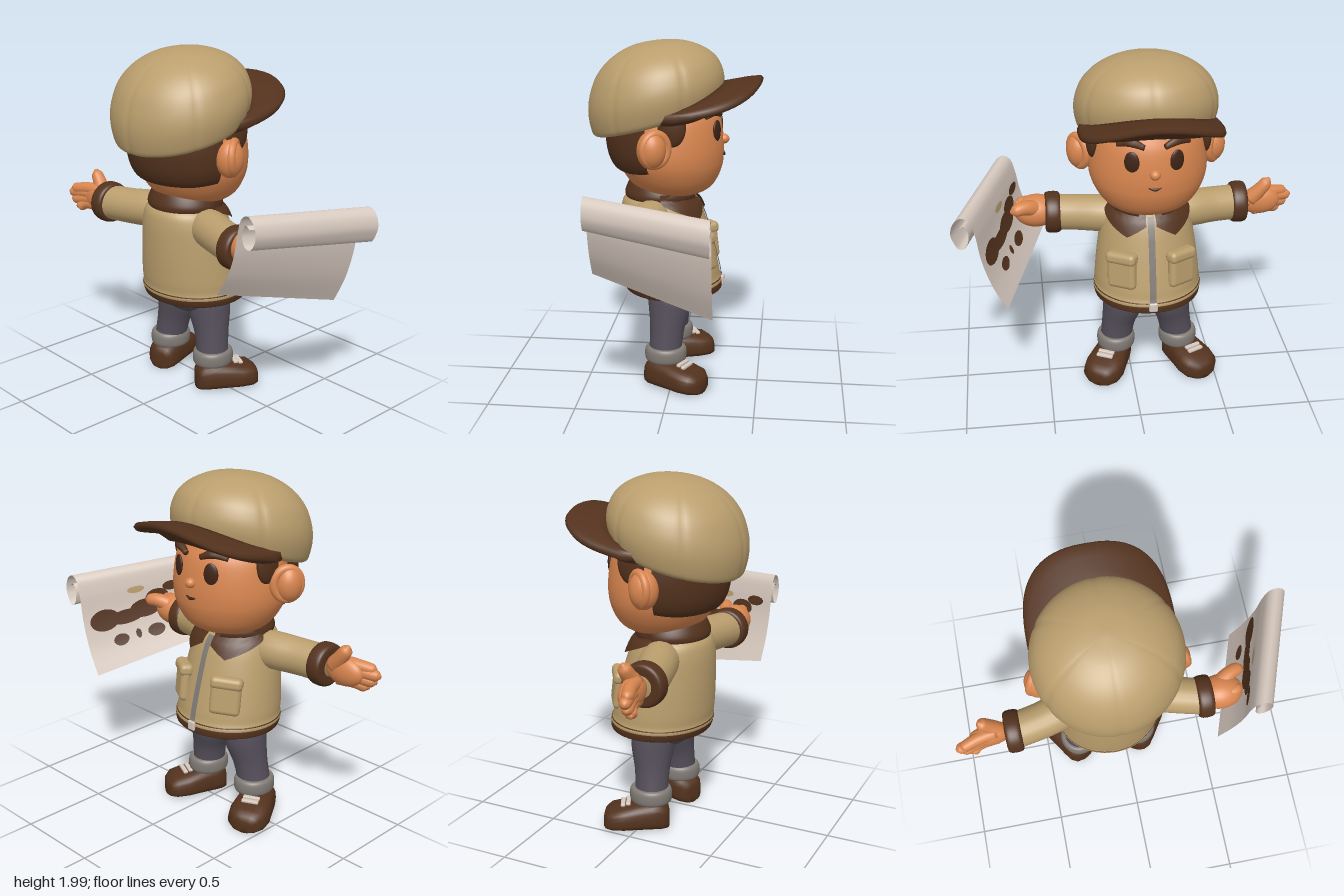
import * as THREE from 'three';
import { mergeVertices } from 'three/addons/utils/BufferGeometryUtils.js';
import { RoundedBoxGeometry } from 'three/addons/geometries/RoundedBoxGeometry.js';

const mat = (name, color, side = THREE.FrontSide) =>
  Object.assign(new THREE.MeshStandardMaterial({ color, side }), { name });
const V = (x, y, z) => new THREE.Vector3(x, y, z);
const lerp = THREE.MathUtils.lerp;

function smooth(geo) {
  geo.deleteAttribute('uv');
  geo.deleteAttribute('normal');
  const g = mergeVertices(geo, 1e-4);
  g.computeVertexNormals();
  return g;
}

// Smooth profile [r, y] from bottom to top
const profile = (pts, n = 40) =>
  new THREE.SplineCurve(pts.map(p => new THREE.Vector2(...p))).getPoints(n).map(p => p.setX(Math.max(p.x, 0)));

function lathe(pts, move, start = 0, length = Math.PI * 2, segments = 56) {
  const g = new THREE.LatheGeometry(profile(pts), segments, start, length);
  const p = g.attributes.position;
  for (let i = 0; i < p.count; i++) p.setXYZ(i, ...move(p.getX(i), p.getY(i), p.getZ(i)));
  return smooth(g);
}

// Skin over a row of closed rings, capped at both ends, always facing outwards
function loft(rings) {
  const n = rings[0].length, all = rings.flat(), idx = [];
  for (let r = 0; r < rings.length - 1; r++)
    for (let i = 0; i < n; i++) {
      const a = r * n + i, b = r * n + (i + 1) % n;
      idx.push(a, b, a + n, b, b + n, a + n);
    }
  [rings[0], rings[rings.length - 1]].forEach((ring, end) => {
    const c = all.push(ring.reduce((s, p) => s.add(p), V(0, 0, 0)).divideScalar(n)) - 1;
    const base = end ? (rings.length - 1) * n : 0;
    for (let i = 0; i < n; i++) {
      const a = base + i, b = base + (i + 1) % n;
      idx.push(c, ...(end ? [a, b] : [b, a]));
    }
  });
  let volume = 0;
  for (let i = 0; i < idx.length; i += 3)
    volume += all[idx[i]].dot(V(0, 0, 0).crossVectors(all[idx[i + 1]], all[idx[i + 2]]));
  if (volume < 0) idx.reverse();
  const g = new THREE.BufferGeometry().setFromPoints(all);
  g.setIndex(idx);
  g.computeVertexNormals();
  return g;
}

// Tube through points with a radius at each point
function limb(points, radii, steps = 20, sides = 20) {
  const curve = new THREE.CatmullRomCurve3(points.map(p => V(...p)));
  const f = curve.computeFrenetFrames(steps);
  const radius = new THREE.SplineCurve(radii.map((r, i) => new THREE.Vector2(i, r)));
  const rings = [];
  for (let k = 0; k <= steps; k++) {
    const c = curve.getPoint(k / steps), r = radius.getPoint(k / steps).y;
    rings.push(Array.from({ length: sides }, (_, i) => {
      const a = i / sides * Math.PI * 2;
      return c.clone().addScaledVector(f.normals[k], r * Math.cos(a)).addScaledVector(f.binormals[k], r * Math.sin(a));
    }));
  }
  return loft(rings);
}

export function createModel() {
  const tan = mat('tan cloth', 0xba9e6d), brown = mat('dark brown', 0x53321d, THREE.DoubleSide);
  const skin = mat('skin', 0xd9864f), slate = mat('slate trousers', 0x554f5a);
  const grey = mat('grey', 0x807a74, THREE.DoubleSide), paper = mat('paper', 0xd6c8be, THREE.DoubleSide);
  const dark = mat('eye brown', 0x3f2416);
  const model = new THREE.Group(), body = new THREE.Group();
  body.name = 'figure';
  body.position.x = -0.1;
  model.add(body);
  const add = (name, geo, m, parent = body) => {
    const mesh = new THREE.Mesh(geo, m);
    mesh.name = name;
    parent.add(mesh);
    return mesh;
  };
  const ball = (name, m, pos, size, ry = 0) => {
    const b = add(name, new THREE.SphereGeometry(1, 32, 20), m);
    b.position.set(...pos);
    b.scale.set(...size);
    b.rotation.y = ry;
  };

  // Head with the jaw pushed forward, hair and face
  add('head', lathe([[0, 1.11], [0.14, 1.125], [0.24, 1.17], [0.305, 1.26], [0.333, 1.36], [0.322, 1.5], [0.29, 1.6], [0.22, 1.67], [0, 1.7]],
    (x, y, z) => [x, y, z * 0.93 + 0.03 - 0.12 * Math.max(0, 1.34 - y)]), skin);
  add('hair', lathe([[0.22, 1.265], [0.3, 1.275], [0.345, 1.35], [0.362, 1.47], [0.355, 1.62]],
    (x, y, z) => [x * 1.04, y + 0.1 * Math.max(0, 0.2 - z) * Math.max(0, (1.6 - y) / 0.3), z * 1.02 + 0.03], -1.3, 2.6), brown);
  ball('nose', skin, [0, 1.44, -0.28], [0.03, 0.028, 0.03]);
  add('mouth', limb([[-0.035, 1.36, -0.276], [0, 1.352, -0.28], [0.035, 1.362, -0.276]], [0.004, 0.009, 0.004], 10, 8), dark);
  for (const s of [-1, 1]) {
    ball('eye', dark, [s * 0.122, 1.505, -0.246], [0.042, 0.063, 0.014], -s * 0.38);
    add('eyebrow', limb([[s * 0.055, 1.592, -0.258], [s * 0.125, 1.615, -0.232], [s * 0.195, 1.592, -0.192]], [0.016, 0.024, 0.012], 12, 10), brown);
    ball('ear', skin, [s * 0.375, 1.44, 0.09], [0.075, 0.105, 0.08]);
    const rim = add('earRim', new THREE.TorusGeometry(0.074, 0.024, 14, 32), skin);
    rim.position.set(s * 0.383, 1.445, 0.068);
    rim.rotation.y = Math.PI / 2 + s * 0.6;
    rim.scale.y = 1.12;
    ball('sideburn', brown, [s * 0.315, 1.56, -0.015], [0.035, 0.115, 0.078]);
  }

  // Cap crown with shallow seam grooves, its lower edge rising towards the peak
  const crown = (x, y, z) => {
    const a = Math.atan2(x, z), step = Math.PI / 3, d = a - Math.round(a / step) * step;
    const k = 1 - 0.014 * Math.exp(-((d / 0.045) ** 2));
    return [x * k, 1.555 + y - 0.27 * z * (1 - 0.6 * y / 0.445), z * k * 0.96 + 0.11];
  };
  add('capCrown', lathe([[0, 0.02], [0.3, 0], [0.365, 0], [0.39, 0.05], [0.402, 0.13], [0.39, 0.21], [0.35, 0.295], [0.27, 0.368], [0.15, 0.42], [0, 0.438]],
    crown, 0, Math.PI * 2, 144), tan);

  // Arched peak, lower at its sides and thick where it meets the crown
  const power = (v, e) => Math.sign(v) * Math.abs(v) ** e;
  const peakRings = [];
  for (let k = 0; k <= 40; k++) {
    const a = lerp(-Math.PI / 2, Math.PI / 2, k / 40), c = Math.max(Math.cos(a), 0);
    const inner = [0.35 * Math.sin(a), 0.1 - 0.33 * c];
    const outer = [0.395 * power(Math.sin(a), 0.7), -0.04 - 0.455 * c ** 0.65];
    const root = 0.075 * Math.sqrt(c);
    peakRings.push([[0, 0.02], [0.35, 0.021], [0.7, 0.022], [0.95, 0.017], [1, 0], [0.95, -0.017], [0.7, -0.024],
      [0.45, -0.022 - root * 0.3], [0.22, -0.02 - root], [0, -0.02 - root]].map(([s, h]) => {
      const x = lerp(inner[0], outer[0], s), z = lerp(inner[1], outer[1], s);
      return V(x, 1.6 - 0.18 * z + 0.095 * (1 - (x / 0.4) ** 2) + h, z);
    }));
  }
  add('capPeak', loft(peakRings), brown);

  // Jacket
  const jacketPts = [[0, 0.575], [0.29, 0.58], [0.308, 0.64], [0.3, 0.75], [0.28, 0.9], [0.255, 1.03], [0.218, 1.1], [0.13, 1.14], [0, 1.15]];
  const lean = y => 0.015 + (y - 0.6) * 0.15;
  const jacket = (x, y, z) => [x, y, z * 0.92 + lean(y)];
  add('jacket', lathe(jacketPts, jacket), tan);
  add('hem', lathe([[0.24, 0.555], [0.3, 0.55], [0.313, 0.57], [0.315, 0.6], [0.31, 0.62], [0.27, 0.626]], jacket), brown);
  const sides = profile(jacketPts, 200);
  const radiusAt = y => sides.reduce((best, p) => Math.abs(p.y - y) < Math.abs(best.y - y) ? p : best).x;
  const frontZ = (x, y) => lean(y) - 0.92 * Math.sqrt(Math.max(0, radiusAt(y) ** 2 - x * x));
  const zip = new THREE.PlaneGeometry(0.038, 0.5, 1, 24).rotateY(Math.PI).translate(0, 0.85, 0);
  const zp = zip.attributes.position;
  for (let i = 0; i < zp.count; i++) zp.setZ(i, frontZ(0, zp.getY(i)) - 0.009);
  zip.computeVertexNormals();
  add('zip', zip, grey);
  add('zipPull', new RoundedBoxGeometry(0.05, 0.055, 0.02, 2, 0.008), paper).position.set(0, 0.595, -0.28);
  add('collar', lathe([[0.17, 1.09], [0.21, 1.095], [0.222, 1.13], [0.2, 1.185], [0.185, 1.2], [0.165, 1.17]],
    (x, y, z) => [x, y, z * 0.95 + 0.08], -Math.PI + 0.3, 2 * Math.PI - 0.6), brown);

  for (const s of [-1, 1]) {
    // Pointed lapel wrapped round the jacket front
    const lapel = new THREE.PlaneGeometry(1, 1, 20, 8), lp = lapel.attributes.position;
    for (let i = 0; i < lp.count; i++) {
      const u = lp.getX(i) + 0.5, v = 0.5 - lp.getY(i);
      const y = 1.15 - v * 0.155 * (u < 0.3 ? 0.6 + 0.4 * u / 0.3 : 1 - 0.65 * (u - 0.3) / 0.7);
      const a = 0.11 + u * 1.3, r = Math.max(radiusAt(y), 0.205) + 0.022;
      lp.setXYZ(i, s * r * Math.sin(a), y, lean(y) - 0.92 * r * Math.cos(a));
    }
    lapel.computeVertexNormals();
    add('lapel', lapel, brown);

    const pocket = new THREE.Group();
    pocket.name = 'pocket';
    pocket.position.set(s * 0.17, 0.785, frontZ(0.17, 0.785) - 0.002);
    pocket.rotation.set(0.12, -s * 0.58, 0);
    add('pocketBag', new RoundedBoxGeometry(0.175, 0.19, 0.06, 4, 0.028), tan, pocket);
    add('pocketFlap', new RoundedBoxGeometry(0.185, 0.07, 0.08, 4, 0.028), tan, pocket).position.y = 0.09;
    body.add(pocket);

    // Sleeves and cuffs
    const reach = s < 0 ? 0 : -0.03;
    add('sleeve', limb([[s * 0.06, 1.01, 0.08], [s * 0.24, 1.015, 0.115], [s * 0.4, 1.007, 0.16], [s * (0.56 + reach), 1.0, 0.19]], [0.09, 0.108, 0.105, 0.104]), tan);
    const cuff = add('sleeveCuff', lathe([[0.06, -0.045], [0.105, -0.045], [0.121, -0.025], [0.121, 0.025], [0.105, 0.045], [0.06, 0.045]], (x, y, z) => [x, y, z]), brown);
    cuff.position.set(s * (0.565 + reach), 1.0, 0.19);
    cuff.rotation.z = Math.PI / 2;

    // Legs, turned-up hems and shoes
    const ankle = s * 0.19 - 0.005;
    add('trouserLeg', limb([[s * 0.125, 0.56, 0.02], [s * 0.14, 0.46, 0.02], [s * 0.168, 0.33, 0.03], [ankle, 0.18, 0.04]], [0.125, 0.122, 0.1, 0.095]), slate);
    add('trouserTurnUp', lathe([[0.07, 0.15], [0.1, 0.15], [0.113, 0.17], [0.113, 0.215], [0.1, 0.237], [0.07, 0.235]],
      (x, y, z) => [x + ankle, y, z * 1.07 + 0.035]), grey);
    const shoeRings = [[-0.195, 0.035, 0.07], [-0.185, 0.075, 0.1], [-0.15, 0.11, 0.125], [-0.08, 0.12, 0.14], [0, 0.11, 0.155],
      [0.09, 0.1, 0.165], [0.14, 0.09, 0.155], [0.17, 0.065, 0.13], [0.178, 0.03, 0.1]].map(([z, w, h]) =>
      Array.from({ length: 28 }, (_, i) => {
        const a = i / 28 * Math.PI * 2;
        return V(w * (1 - 0.1 * Math.sin(a)) * power(Math.cos(a), 0.65), 0.002 + h * (0.5 + 0.5 * power(Math.sin(a), 0.65)), z);
      }));
    const shoe = new THREE.Group();
    shoe.name = 'shoe';
    shoe.position.set(s * 0.24 - 0.01, 0, -0.02);
    shoe.rotation.y = -s * 0.45;
    add('shoeUpper', loft(shoeRings), brown, shoe);
    for (const z of [-0.085, -0.055])
      add('lace', new RoundedBoxGeometry(0.1, 0.018, 0.026, 2, 0.006), paper, shoe).position.set(0, 0.147 + (z + 0.085) * 0.25, z);
    body.add(shoe);
  }
  add('trouserSeat', lathe([[0, 0.435], [0.08, 0.44], [0.17, 0.465], [0.225, 0.505], [0.248, 0.55], [0.25, 0.6]],
    (x, y, z) => [x, y, z * 0.75 + 0.02]), slate);

  // Open hand
  ball('openPalm', skin, [-0.7, 1.0, 0.19], [0.12, 0.085, 0.055]);
  [[0.045, 1.035, -0.87], [0.015, 1.005, -0.898], [-0.02, 0.965, -0.875], [-0.05, 0.925, -0.83]].forEach(([dy, tipY, tipX]) =>
    add('openFinger', limb([[-0.66, 1 + dy, 0.19], [-0.76, 1 + dy, 0.21], [tipX + 0.02, tipY, 0.24], [tipX, tipY, 0.245]], [0.04, 0.037, 0.03, 0.01], 14, 14), skin));
  add('openThumb', limb([[-0.64, 1.02, 0.18], [-0.69, 1.08, 0.165], [-0.73, 1.135, 0.16], [-0.742, 1.16, 0.16]], [0.05, 0.042, 0.034, 0.01], 14, 14), skin);

  // Gripping hand
  ball('gripPalm', skin, [0.63, 1.02, 0.185], [0.13, 0.095, 0.1]);
  [0.055, 0.02, -0.015, -0.045].forEach((dy, i) =>
    add('gripFinger', limb([[0.62, 1.01 + dy, 0.19], [0.68, 1.01 + dy, 0.21], [0.73 - i * 0.012, 1.01 + dy, 0.2], [0.745 - i * 0.012, 1.01 + dy, 0.18]], [0.038, 0.037, 0.032, 0.012], 14, 12), skin));
  add('gripThumb', limb([[0.63, 1.05, 0.15], [0.7, 1.08, 0.105], [0.755, 1.075, 0.085], [0.78, 1.065, 0.085]], [0.05, 0.042, 0.034, 0.01], 14, 14), skin);

  // Chart: a curved sheet with a curled top edge, u up the sheet and v from near to far end
  const chart = new THREE.Group();
  chart.name = 'chart';
  model.add(chart);
  const edge = new THREE.SplineCurve([[0.49, 0.8], [0.565, 0.92], [0.615, 1.05], [0.64, 1.18], [0.665, 1.26], [0.71, 1.287], [0.755, 1.25],
    [0.768, 1.18], [0.735, 1.115], [0.69, 1.12], [0.672, 1.18], [0.695, 1.235], [0.725, 1.22]].map(p => new THREE.Vector2(...p)));
  const onSheet = (g, u0, u1, v0, v1, lift) => {
    const p = g.attributes.position;
    for (let i = 0; i < p.count; i++) {
      const c = edge.getPoint(lerp(u0, u1, p.getX(i) + 0.5)), v = lerp(v0, v1, p.getY(i) + 0.5);
      const drop = lerp(0.15, 0.04, Math.min(1, (c.y - 0.8) / 0.35));
      p.setXYZ(i, c.x + v * 0.235 - lift, c.y - v * drop, lerp(0.385, -0.285, v));
    }
    g.computeVertexNormals();
    return g;
  };
  const blot = () => new THREE.RingGeometry(0.001, 0.5, 24, 4);
  add('chartSheet', onSheet(new THREE.PlaneGeometry(1, 1, 90, 12), 0, 1, 0, 1, 0), paper, chart);
  [[0.12, 0.185, 0.68, 0.95], [0.125, 0.17, 0.45, 0.78], [0.13, 0.19, 0.28, 0.58], [0.16, 0.215, 0.2, 0.42], [0.065, 0.1, 0.64, 0.78],
    [0.06, 0.1, 0.3, 0.46], [0.07, 0.1, 0.52, 0.57], [0.2, 0.235, 0.08, 0.25]].forEach(r =>
    add('chartMark', onSheet(blot(), ...r, 0.008), brown, chart));
  add('chartTanMark', onSheet(blot(), 0.215, 0.24, 0.42, 0.58, 0.008), tan, chart);
  return model;
}
